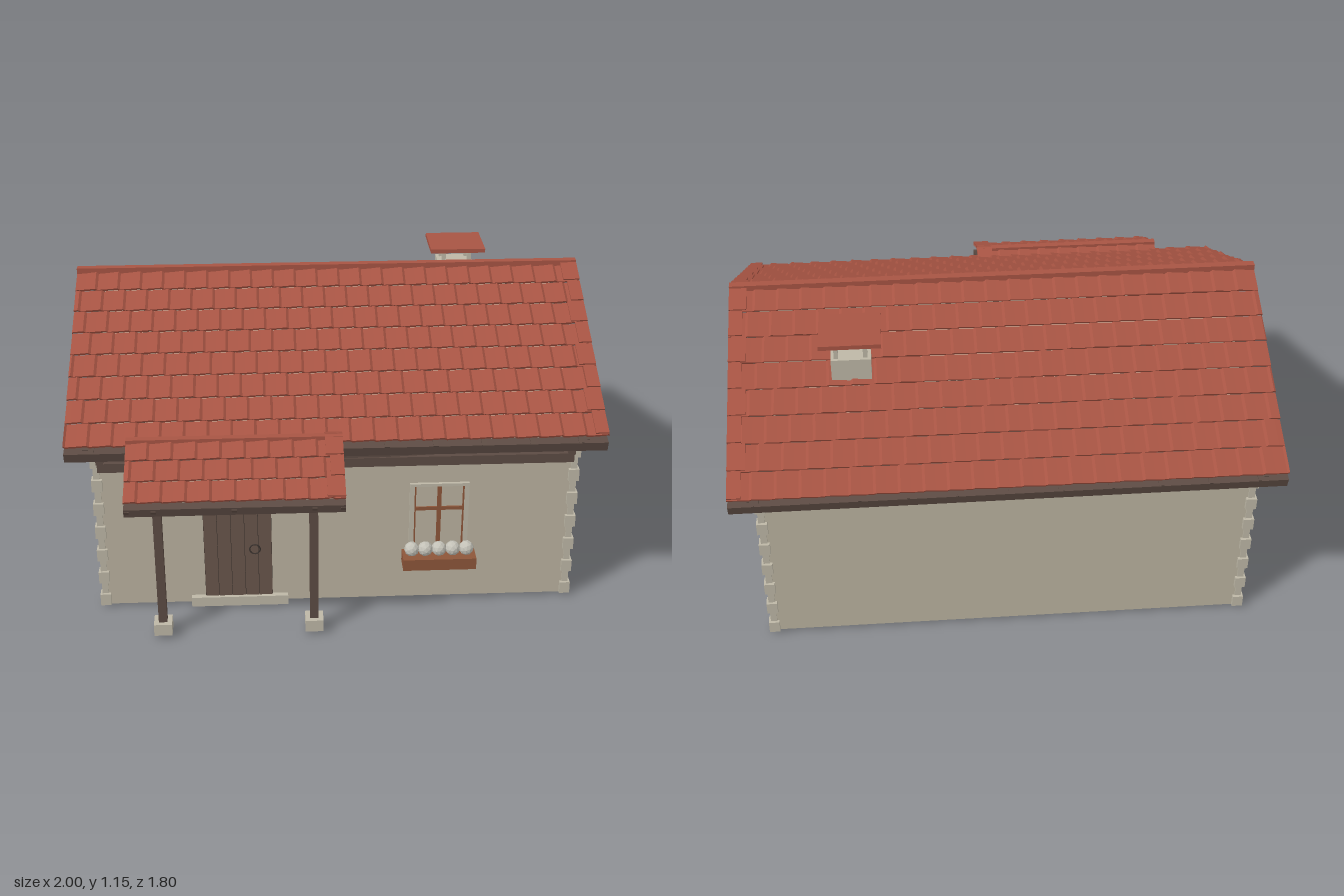
import * as THREE from 'three';

const mat = (name, color, extra = {}) => {
  const m = new THREE.MeshStandardMaterial({ color, flatShading: true, ...extra });
  m.name = name;
  return m;
};

export function createModel() {
  const root = new THREE.Group();
  root.name = 'cottage';
  const plaster = mat('plaster', 0xbab29f);
  const stone = mat('stone', 0xbdb7a6);
  const tile = mat('roofTile', 0xa75443, { side: THREE.DoubleSide });
  const wood = mat('darkWood', 0x5c4b43);
  const doorWood = mat('doorWood', 0x69564b);
  const boxWood = mat('warmWood', 0x8d5539);
  const iron = mat('iron', 0x3a322e);
  const petal = mat('petals', 0xc4c2b8);

  const add = (name, geo, m, parent = root) => {
    const mesh = new THREE.Mesh(geo, m);
    mesh.name = name;
    parent.add(mesh);
    return mesh;
  };
  // box given by its min and max corners
  const box = (name, m, x0, x1, y0, y1, z0, z1, parent) => {
    const b = add(name, new THREE.BoxGeometry(x1 - x0, y1 - y0, z1 - z0), m, parent);
    b.position.set((x0 + x1) / 2, (y0 + y1) / 2, (z0 + z1) / 2);
    return b;
  };
  // timber running between two points
  const beam = (name, m, a, b, w, h) => {
    const p = new THREE.Vector3(...a), q = new THREE.Vector3(...b);
    const s = add(name, new THREE.BoxGeometry(w, h, p.distanceTo(q)), m);
    s.position.copy(p).add(q).multiplyScalar(0.5);
    s.lookAt(q);
    return s;
  };

  const ZR = -0.123, HALF = 0.69, WX = 0.9;
  const ZF = ZR + HALF, ZB = ZR - HALF;

  // overlapping rows of stepped tiles from a ridge line to an eave line, points are [z, y]
  function tiledSlope(name, x0, x1, top, low, rows, w) {
    const dz = low[0] - top[0], dy = low[1] - top[1];
    const s = Math.sign(dz) / Math.hypot(dz, dy);
    const P = (x, t, h) => [x, top[1] + dy * t + dz * s * h, top[0] + dz * t - dy * s * h];
    const pos = [];
    const quad = (a, b, c, d) => pos.push(...a, ...b, ...c, ...a, ...c, ...d);
    for (let r = 0; r < rows; r++) {
      const t0 = r / rows, t1 = (r + 1) / rows;
      const pts = [];
      for (let x = x0 - w + (r * 0.3 % 1) * w; x < x1 + w; x += w) {
        pts.push([x, 0], [x + w * 0.45, 0.003], [x + w * 0.88, 0.007], [x + w * 0.99, 0]);
      }
      for (let i = 0; i + 1 < pts.length; i++) {
        const [xa, ha] = pts[i], [xb, hb] = pts[i + 1];
        const ca = Math.min(Math.max(xa, x0), x1), cb = Math.min(Math.max(xb, x0), x1);
        if (cb - ca < 1e-5) continue;
        const a1 = P(ca, t1, ha + 0.009), b1 = P(cb, t1, hb + 0.009);
        quad(P(ca, t0, ha), a1, b1, P(cb, t0, hb));
        quad(a1, P(ca, t1, ha), P(cb, t1, hb), b1);
      }
    }
    const g = new THREE.BufferGeometry();
    g.setAttribute('position', new THREE.Float32BufferAttribute(pos, 3));
    g.computeVertexNormals();
    add(name, g, tile);
    // verge tiles along the +x edge
    for (let r = 0; r < rows; r++) {
      const a = P(0, r / rows, 0.011), b = P(0, (r + 0.96) / rows, 0.017);
      const wide = r % 2 ? 0.05 : 0.065;
      a[0] = b[0] = x1 - wide / 2;
      beam('vergeTile', tile, a, b, wide, 0.006);
    }
  }

  // walls with gables in one solid
  const profile = new THREE.Shape([[ZB, 0.01], [ZF, 0.01], [ZF, 0.74], [ZR, 1.095], [ZB, 0.74]]
    .map(p => new THREE.Vector2(...p)));
  const wallGeo = new THREE.ExtrudeGeometry(profile, { depth: WX * 2, bevelEnabled: false });
  wallGeo.rotateY(-Math.PI / 2).translate(WX, 0, 0);
  add('walls', wallGeo, plaster);
  box('floorSlab', stone, -0.86, 0.86, 0, 0.012, ZB + 0.04, ZF - 0.04);

  // corner stones
  for (const sx of [-1, 1]) for (const z of [ZF, ZB]) for (let i = 0; i < 14; i++) {
    const r = i % 2 ? 0.012 : 0.02, y = 0.012 + i * 0.0505;
    const zc = z - Math.sign(z) * 0.006, xc = sx * (WX - 0.002);
    box('cornerStone', stone, xc - r, xc + r, y, y + 0.049, zc - r, zc + r);
  }

  // main roof
  tiledSlope('frontRoof', -1, 1, [ZR, 1.13], [0.645, 0.738], 8, 0.087);
  tiledSlope('backRoof', -1, 1, [ZR, 1.13], [-0.891, 0.738], 8, 0.087);
  box('ridgeCap', tile, -1, 1, 1.122, 1.147, ZR - 0.015, ZR + 0.015);

  // rafters, battens and eave beams on both slopes
  for (const s of [1, -1]) {
    const at = (x, d, lift = 0) => [x, 1.1 - d * 0.513 + lift, ZR + s * d];
    for (let i = 0; i <= 10; i++) {
      const x = -0.9 + i * 0.18;
      beam('rafter', wood, at(x, 0), at(x, 0.768), 0.02, 0.028);
    }
    for (let i = 1; i < 8; i++) beam('batten', wood, at(-0.985, i * 0.095, 0.018), at(0.985, i * 0.095, 0.018), 0.014, 0.008);
    const eave = box('eaveBeam', wood, -1, 1, -0.019, 0.019, -0.019, 0.019);
    eave.position.set(0, 0.703, ZR + s * 0.752);
    eave.rotation.x = s * 0.25;
    // gable timbers
    for (const x of [-0.915, 0.915]) beam('gableRafter', wood, at(x, 0, -0.006), at(x, 0.75, -0.006), 0.035, 0.032);
  }
  for (const x of [-0.915, 0.915]) {
    box('tieBeam', wood, x - 0.017, x + 0.017, 0.745, 0.775, ZB + 0.01, ZF - 0.01);
    box('kingPost', wood, x - 0.016, x + 0.016, 0.77, 1.09, ZR - 0.016, ZR + 0.016);
  }

  // front wall plate with short struts
  box('wallPlate', wood, -0.89, 0.89, 0.608, 0.645, ZF, ZF + 0.03);
  for (const x of [-0.88, 0.88]) box('plateStrut', wood, x - 0.014, x + 0.014, 0.64, 0.7, ZF, ZF + 0.03);
  beam('slantedBatten', wood, [0, 0.645, ZF + 0.015], [0.88, 0.68, ZF + 0.015], 0.02, 0.014);

  // chimney
  const cx = 0.55, cz = -0.42;
  box('chimneyBody', stone, cx - 0.073, cx + 0.073, 0.85, 1.04, cz - 0.073, cz + 0.073);
  for (const sx of [-1, 1]) for (const sz of [-1, 1]) {
    const x = cx + sx * 0.053, z = cz + sz * 0.053;
    box('chimneyPost', stone, x - 0.008, x + 0.008, 1.04, 1.112, z - 0.008, z + 0.008);
  }
  box('chimneyCap', tile, cx - 0.113, cx + 0.113, 1.108, 1.125, cz - 0.103, cz + 0.103);

  // door with planks, lintel and ring handle
  box('doorStep', stone, -0.565, -0.19, 0, 0.04, ZF - 0.04, ZF + 0.022);
  box('doorBack', iron, -0.51, -0.25, 0.04, 0.48, ZF, ZF + 0.004);
  for (let i = 0; i < 5; i++) {
    const x = -0.51 + i * 0.052;
    box('doorPlank', doorWood, x + 0.001, x + 0.051, 0.04, 0.48, ZF, ZF + 0.009);
  }
  box('doorLintel', stone, -0.51, -0.25, 0.48, 0.502, ZF, ZF + 0.014);
  box('lintelBand', plaster, -0.565, -0.185, 0.505, 0.55, ZF, ZF + 0.006);
  add('doorRing', new THREE.TorusGeometry(0.02, 0.003, 6, 20), iron).position.set(-0.315, 0.25, ZF + 0.013);

  // window
  box('windowPane', plaster, 0.285, 0.495, 0.23, 0.51, ZF, ZF + 0.003);
  for (const x of [0.286, 0.494]) {
    box('windowJamb', stone, x - 0.009, x + 0.009, 0.23, 0.515, ZF, ZF + 0.012);
    const inner = x + (x < 0.39 ? 0.012 : -0.012);
    box('windowSash', boxWood, inner - 0.003, inner + 0.003, 0.23, 0.505, ZF, ZF + 0.009);
  }
  box('windowHead', stone, 0.277, 0.503, 0.506, 0.518, ZF, ZF + 0.012);
  box('windowMullion', boxWood, 0.382, 0.398, 0.23, 0.506, ZF, ZF + 0.009);
  box('windowBar', boxWood, 0.295, 0.485, 0.402, 0.416, ZF, ZF + 0.009);

  // flower box
  box('flowerBox', boxWood, 0.25, 0.53, 0.185, 0.232, ZF + 0.01, 0.66);
  for (const x of [0.29, 0.49]) {
    box('flowerBoxBracket', wood, x - 0.009, x + 0.009, 0.168, 0.187, ZF, ZF + 0.04);
  }
  for (let i = 0; i < 5; i++) {
    const f = add('flower', new THREE.IcosahedronGeometry(0.029, 1), petal);
    f.position.set(0.285 + i * 0.0525, 0.256, 0.617);
    f.rotation.set(i, i * 0.7, 0);
  }

  // porch posts with footings and braces
  const PZ = 0.76;
  for (const [x, s] of [[-0.665, 1], [-0.095, -1]]) {
    box('porchFooting', stone, x - 0.034, x + 0.034, 0.012, 0.06, PZ - 0.034, PZ + 0.034);
    box('porchPost', wood, x - 0.016, x + 0.016, 0.06, 0.63, PZ - 0.016, PZ + 0.016);
    beam('postBrace', wood, [x, 0.525, PZ], [x + s * 0.085, 0.61, PZ], 0.018, 0.018);
    beam('wallBrace', wood, [x, 0.615, PZ - 0.01], [x, 0.525, ZF], 0.022, 0.026);
  }
  box('porchBeam', wood, -0.75, -0.005, 0.602, 0.634, PZ - 0.016, PZ + 0.016);

  // porch roof
  tiledSlope('porchFrontRoof', -0.77, 0.015, [0.663, 0.772], [0.898, 0.646], 3, 0.087);
  tiledSlope('porchBackRoof', -0.77, 0.015, [0.663, 0.772], [0.59, 0.736], 1, 0.087);
  box('porchRidgeCap', tile, -0.77, 0.015, 0.76, 0.782, 0.65, 0.677);
  for (const x of [-0.76, -0.665, -0.38, -0.095, 0.005]) {
    beam('porchRafter', wood, [x, 0.604, 0.898], [x, 0.676, 0.755], 0.018, 0.024);
  }
  const fascia = box('porchEaveBeam', wood, -0.77, 0.015, -0.017, 0.017, -0.017, 0.017);
  fascia.position.set(-0.3775, 0.612, 0.882);
  fascia.rotation.x = 0.25;

  return root;
}
